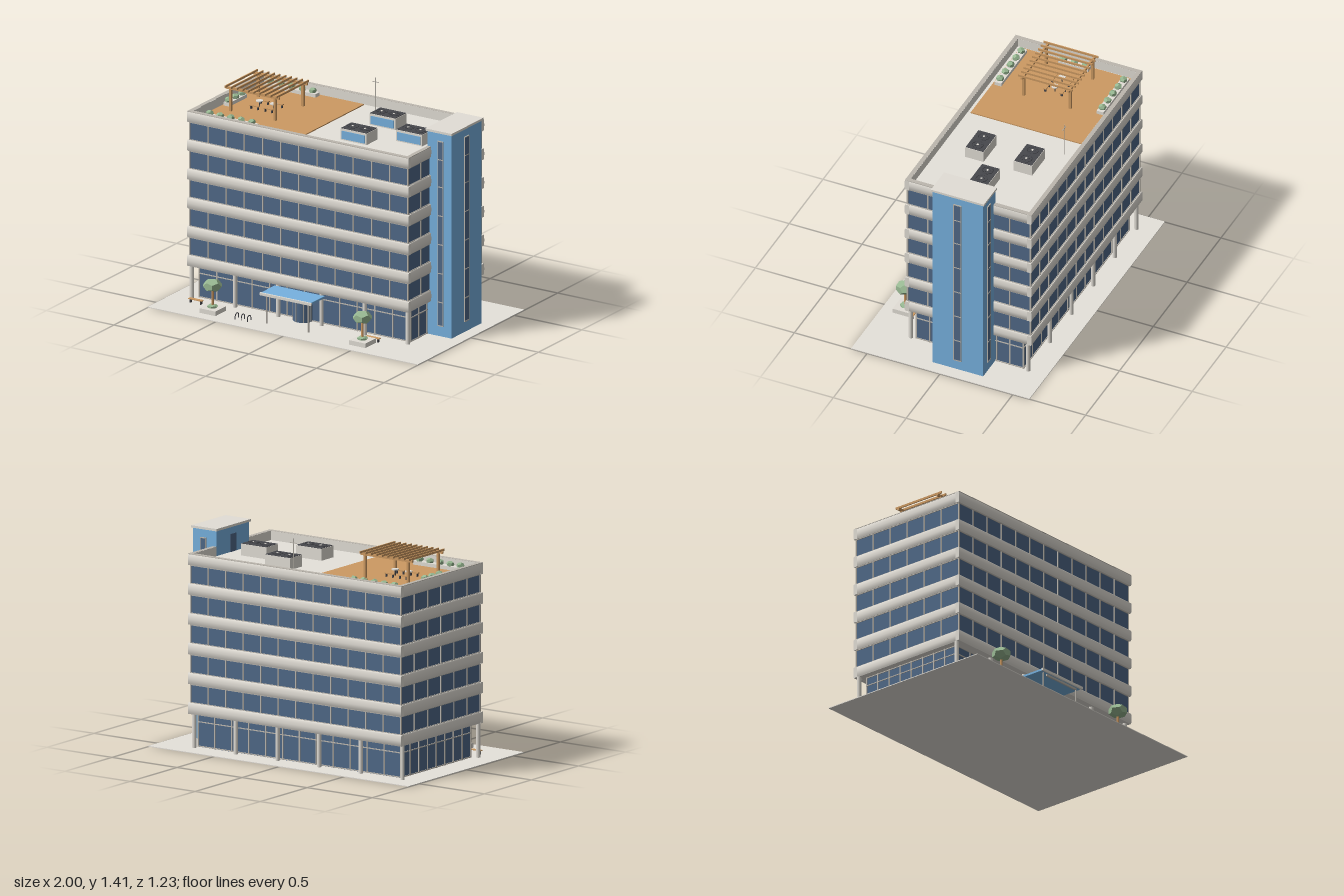
import * as THREE from 'three';
import { toCreasedNormals } from 'three/addons/utils/BufferGeometryUtils.js';

const mat = (name, color) => Object.assign(new THREE.MeshStandardMaterial({ color }), { name });

export function createModel() {
  const M = {
    concrete: mat('concrete', 0xe2ded6), paving: mat('paving', 0xe6e2db), glass: mat('glass', 0x506988),
    blue: mat('bluePanel', 0x77b2e0), metal: mat('metal', 0xbcb7ae), wood: mat('wood', 0xcd9a62),
    dark: mat('darkMetal', 0x47484d), leaf: mat('foliage', 0x98b892),
  };
  M.leaf.flatShading = true;
  const root = new THREE.Group();
  root.name = 'officeBuilding';
  const group = (name) => {
    const g = new THREE.Group();
    g.name = name;
    root.add(g);
    return g;
  };
  const add = (parent, name, geo, m, x = 0, y = 0, z = 0) => {
    const mesh = new THREE.Mesh(geo, m);
    mesh.name = name;
    mesh.position.set(x, y, z);
    parent.add(mesh);
    return mesh;
  };
  // box from its minimum and maximum on each axis
  const box = (p, name, m, x0, x1, y0, y1, z0, z1) => add(p, name,
    new THREE.BoxGeometry(x1 - x0, y1 - y0, z1 - z0), m, (x0 + x1) / 2, (y0 + y1) / 2, (z0 + z1) / 2);
  const cyl = (p, name, m, r, y0, y1, x, z, seg = 16) => add(p, name,
    new THREE.CylinderGeometry(r, r, y1 - y0, seg), m, x, (y0 + y1) / 2, z);

  box(root, 'pavement', M.paving, -1, 1, 0, 0.005, -0.615, 0.61);

  // glazed storeys with mullions and rails
  const glazing = (name, x0, x1, z0, z1, y0, y1, nx, nz, rails) => {
    const g = group(name), t = 0.004, d = 0.005;
    box(g, 'glass', M.glass, x0, x1, y0, y1, z0, z1);
    for (let i = 0; i <= nx; i++) {
      const x = x0 + (x1 - x0) * i / nx;
      for (const z of [z0, z1]) box(g, 'mullion', M.metal, x - t, x + t, y0, y1, z - d, z + d);
    }
    for (let i = 1; i < nz; i++) {
      const z = z0 + (z1 - z0) * i / nz;
      for (const x of [x0, x1]) box(g, 'mullion', M.metal, x - d, x + d, y0, y1, z - t, z + t);
    }
    for (const y of rails) {
      for (const z of [z0, z1]) box(g, 'rail', M.metal, x0, x1, y - 0.003, y + 0.003, z - d, z + d);
      for (const x of [x0, x1]) box(g, 'rail', M.metal, x - d, x + d, y - 0.003, y + 0.003, z0, z1);
    }
  };
  glazing('groundFloor', -0.825, 0.735, -0.45, 0.285, 0.005, 0.23, 12, 8, [0.01, 0.165, 0.218]);
  for (let f = 0; f < 5; f++) {
    const y = 0.28 + f * 0.19;
    glazing('storey', -0.862, 0.752, -0.505, 0.337, y, y + 0.134, 12, 6, [y + 0.015, y + 0.13]);
  }

  // softly rounded spandrel bands, the highest one being the parapet
  const profile = new THREE.Shape([[0, 0], [0.025, 0], [0.029, 0.006], [0.03, 0.036], [0.029, 0.066], [0.025, 0.072], [0, 0.072]]
    .map(([x, y]) => new THREE.Vector2(x, y)));
  const bandGeo = (len, angle) => {
    const g = new THREE.ExtrudeGeometry(profile, { depth: len, bevelEnabled: false });
    g.translate(0, 0, -len / 2).rotateY(angle);
    return toCreasedNormals(g, 0.65);
  };
  const long = [bandGeo(1.64, -Math.PI / 2), bandGeo(1.64, Math.PI / 2)];
  const short = [bandGeo(0.812, 0), bandGeo(0.812, Math.PI)];
  const bands = group('spandrelBands');
  for (let f = 0; f < 6; f++) {
    const y = 0.222 + f * 0.19;
    add(bands, 'frontBand', long[0], M.concrete, -0.055, y, 0.322);
    add(bands, 'backBand', long[1], M.concrete, -0.055, y, -0.49);
    add(bands, 'rightBand', short[0], M.concrete, 0.735, y, -0.084);
    add(bands, 'leftBand', short[1], M.concrete, -0.845, y, -0.084);
    if (f < 5) box(bands, 'floorSlab', M.concrete, -0.846, 0.736, y + 0.002, y + 0.07, -0.491, 0.323);
  }
  box(root, 'roof', M.paving, -0.846, 0.736, 1.165, 1.185, -0.491, 0.323);
  for (const z of [0.337, -0.505]) box(bands, 'coping', M.metal, -0.875, 0.765, 1.241, 1.245, z - 0.014, z + 0.014);
  for (const x of [-0.86, 0.75]) box(bands, 'coping', M.metal, x - 0.014, x + 0.014, 1.241, 1.245, -0.491, 0.323);

  // ground floor columns
  const columns = group('columns');
  for (let i = 0; i < 6; i++)
    for (const z of [0.32, -0.485]) cyl(columns, 'column', M.concrete, 0.014, 0.005, 0.225, -0.86 + i * 0.32, z);

  // stair tower with tall slit windows
  const tower = group('stairTower');
  box(tower, 'towerBody', M.blue, 0.735, 0.915, 0.005, 1.345, -0.257, 0.09);
  box(tower, 'towerCap', M.concrete, 0.727, 0.922, 1.345, 1.36, -0.266, 0.099);
  box(tower, 'sideWindow', M.glass, 0.91, 0.919, 0.075, 1.29, -0.106, -0.056);
  for (const s of [-0.106, -0.056]) box(tower, 'windowJamb', M.metal, 0.912, 0.921, 0.072, 1.293, s - 0.002, s + 0.002);
  for (const z of [0.09, -0.257]) {
    box(tower, 'slitWindow', M.glass, 0.815, 0.855, 0.075, 1.29, z - 0.004, z + 0.004);
    for (const x of [0.815, 0.855]) box(tower, 'windowJamb', M.metal, x - 0.002, x + 0.002, 0.072, 1.293, z - 0.006, z + 0.006);
  }
  for (const y of [0.075, 0.23, 0.42, 0.61, 0.8, 0.99, 1.17, 1.29]) {
    box(tower, 'windowBar', M.metal, 0.912, 0.921, y - 0.003, y + 0.003, -0.108, -0.054);
    for (const z of [0.09, -0.257]) box(tower, 'windowBar', M.metal, 0.813, 0.857, y - 0.003, y + 0.003, z - 0.006, z + 0.006);
  }
  box(tower, 'roofDoor', M.glass, 0.732, 0.737, 1.185, 1.3, -0.11, -0.05);

  // entrance: revolving door under a canopy on two posts
  const entrance = group('entrance');
  cyl(entrance, 'revolvingDoor', M.glass, 0.066, 0.005, 0.157, -0.055, 0.288, 28);
  cyl(entrance, 'doorCap', M.metal, 0.071, 0.155, 0.168, -0.055, 0.288, 28);
  for (let i = 0; i < 8; i++) {
    const a = i * Math.PI / 4 + 0.2;
    cyl(entrance, 'doorPost', M.metal, 0.003, 0.005, 0.157, -0.055 + 0.066 * Math.cos(a), 0.288 + 0.066 * Math.sin(a), 6);
  }
  box(entrance, 'canopy', M.blue, -0.24, 0.13, 0.195, 0.208, 0.33, 0.488);
  box(entrance, 'canopyFascia', M.concrete, -0.245, 0.135, 0.192, 0.209, 0.486, 0.497);
  box(entrance, 'canopyBeam', M.metal, -0.18, 0.1, 0.182, 0.195, 0.465, 0.475);
  for (const x of [-0.21, 0.1]) cyl(entrance, 'canopyPost', M.metal, 0.005, 0.005, 0.195, x, 0.47, 10);

  // faceted foliage, used for trees and shrubs
  const blob = (p, name, r, sy, x, y, z, turn) => {
    const b = add(p, name, new THREE.DodecahedronGeometry(r), M.leaf, x, y, z);
    b.scale.y = sy;
    b.rotation.y = turn;
  };
  // street trees in planters
  for (const x of [-0.61, 0.5]) {
    const t = group('streetTree');
    box(t, 'planter', M.concrete, x - 0.06, x + 0.06, 0.005, 0.035, 0.41, 0.53);
    blob(t, 'shrub', 0.036, 0.35, x, 0.042, 0.47, 0.3);
    cyl(t, 'trunk', M.wood, 0.008, 0.03, 0.16, x, 0.47, 7);
    blob(t, 'crown', 0.063, 0.68, x, 0.18, 0.47, 0.5);
  }

  // benches and bicycle hoops
  for (const x of [-0.782, 0.53]) {
    const b = group('bench');
    box(b, 'seat', M.wood, x - 0.05, x + 0.05, 0.028, 0.033, 0.382, 0.406);
    for (const s of [-0.038, 0.038]) box(b, 'leg', M.dark, x + s - 0.003, x + s + 0.003, 0.005, 0.028, 0.385, 0.403);
  }
  const racks = group('bikeRacks');
  for (const x of [-0.415, -0.37, -0.325]) {
    const hoop = add(racks, 'hoop', new THREE.TorusGeometry(0.02, 0.003, 6, 12, Math.PI), M.dark, x, 0.022, 0.493);
    hoop.rotation.y = Math.PI / 2;
    for (const z of [0.473, 0.513]) cyl(racks, 'hoopLeg', M.dark, 0.003, 0.005, 0.022, x, z, 6);
  }

  // timber roof terrace
  const terrace = group('roofTerrace');
  box(terrace, 'deck', M.wood, -0.835, -0.1, 1.185, 1.192, -0.48, 0.3);

  // pergola
  const pergola = group('pergola');
  for (const z of [-0.245, 0.075]) {
    for (const x of [-0.73, -0.4]) box(pergola, 'post', M.wood, x - 0.008, x + 0.008, 1.19, 1.342, z - 0.008, z + 0.008);
    box(pergola, 'beam', M.wood, -0.765, -0.368, 1.334, 1.35, z - 0.006, z + 0.006);
  }
  for (let i = 0; i < 10; i++) {
    const x = -0.754 + i * 0.0418;
    box(pergola, 'rafter', M.wood, x - 0.0035, x + 0.0035, 1.347, 1.361, -0.272, 0.103);
  }

  // tables with benches
  for (const x of [-0.62, -0.515]) {
    const t = group('terraceTable');
    cyl(t, 'tableTop', M.concrete, 0.023, 1.229, 1.235, x, -0.086, 18);
    cyl(t, 'tableLeg', M.dark, 0.004, 1.19, 1.23, x, -0.086, 8);
    for (const z of [-0.143, -0.03]) {
      box(t, 'terraceBench', M.wood, x - 0.034, x + 0.034, 1.212, 1.218, z - 0.01, z + 0.01);
      for (const s of [-0.025, 0.025]) box(t, 'benchLeg', M.dark, x + s - 0.003, x + s + 0.003, 1.19, 1.212, z - 0.007, z + 0.007);
    }
  }

  // terrace planters
  const planters = group('terracePlanters');
  for (const z of [-0.44, 0.262]) {
    box(planters, 'planterBox', M.concrete, -0.802, -0.418, 1.19, 1.215, z - 0.024, z + 0.024);
    for (let i = 0; i < 5; i++) blob(planters, 'plant', 0.026, 0.8, -0.765 + i * 0.078, 1.226, z, i * 0.9);
  }
  box(planters, 'planterBox', M.concrete, -0.822, -0.778, 1.19, 1.215, -0.19, 0.015);
  for (let i = 0; i < 3; i++) blob(planters, 'plant', 0.026, 0.8, -0.8, 1.226, -0.163 + i * 0.076, i * 1.1);

  // rooftop cooling units with twin fans
  for (const [x, z] of [[0.223, -0.253], [0.527, -0.086], [0.223, 0.08]]) {
    const u = group('coolingUnit');
    box(u, 'casing', M.concrete, x - 0.097, x + 0.097, 1.185, 1.26, z - 0.063, z + 0.063);
    box(u, 'frontPanel', M.blue, x - 0.085, x + 0.085, 1.193, 1.246, z + 0.061, z + 0.066);
    box(u, 'topPlate', M.dark, x - 0.094, x + 0.094, 1.258, 1.263, z - 0.06, z + 0.06);
    for (const s of [-0.046, 0.046]) {
      const ring = add(u, 'fanRing', new THREE.TorusGeometry(0.036, 0.003, 6, 20), M.dark, x + s, 1.264, z);
      ring.rotation.x = Math.PI / 2;
      cyl(u, 'fanHub', M.concrete, 0.007, 1.262, 1.269, x + s, z, 12);
      for (let k = 0; k < 4; k++) {
        const blade = add(u, 'fanBlade', new THREE.BoxGeometry(0.064, 0.002, 0.01), M.dark, x + s, 1.265, z);
        blade.rotation.y = k * Math.PI / 4;
      }
    }
  }

  // antenna mast
  const mast = group('antenna');
  cyl(mast, 'mast', M.metal, 0.003, 1.185, 1.415, 0.035, -0.405, 8);
  box(mast, 'crossbar', M.metal, 0.01, 0.06, 1.384, 1.388, -0.407, -0.403);
  return root;
}
